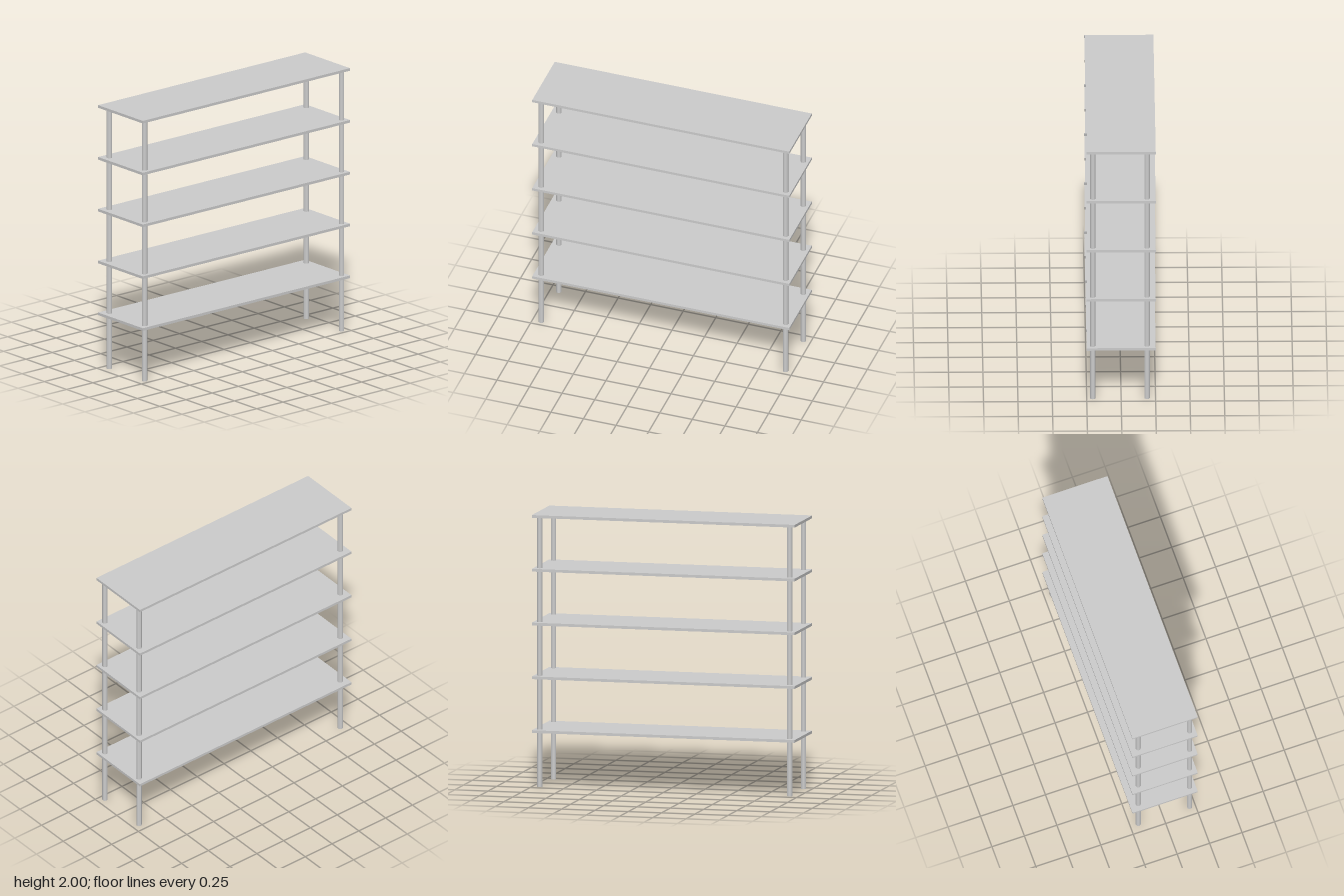
import * as THREE from 'three';

const SHELF = { width: 1.974, depth: 0.502, thickness: 0.02, count: 5, top: 1.99, spacing: 0.3946 };
const LEG = { radius: 0.02, height: 1.98, sides: 12, x: [-0.933, 0.944], z: [-0.188, 0.207] };

export function createModel() {
  const group = new THREE.Group();
  group.name = 'shelvingUnit';
  const material = new THREE.MeshStandardMaterial({ color: 0xcccccc, flatShading: true });

  // Evenly spaced thin shelves, the highest one capping the legs
  const shelfGeometry = new THREE.BoxGeometry(SHELF.width, SHELF.thickness, SHELF.depth);
  for (let i = 0; i < SHELF.count; i++) {
    const shelf = new THREE.Mesh(shelfGeometry, material);
    shelf.name = `shelf${i + 1}`;
    shelf.position.y = SHELF.top - i * SHELF.spacing;
    group.add(shelf);
  }

  // Four round legs running through the shelves
  const legGeometry = new THREE.CylinderGeometry(LEG.radius, LEG.radius, LEG.height, LEG.sides);
  LEG.x.forEach((x, i) => LEG.z.forEach((z, j) => {
    const leg = new THREE.Mesh(legGeometry, material);
    leg.name = `${j ? 'front' : 'back'}${i ? 'Left' : 'Right'}Leg`;
    leg.position.set(x, LEG.height / 2, z);
    group.add(leg);
  }));

  return group;
}
